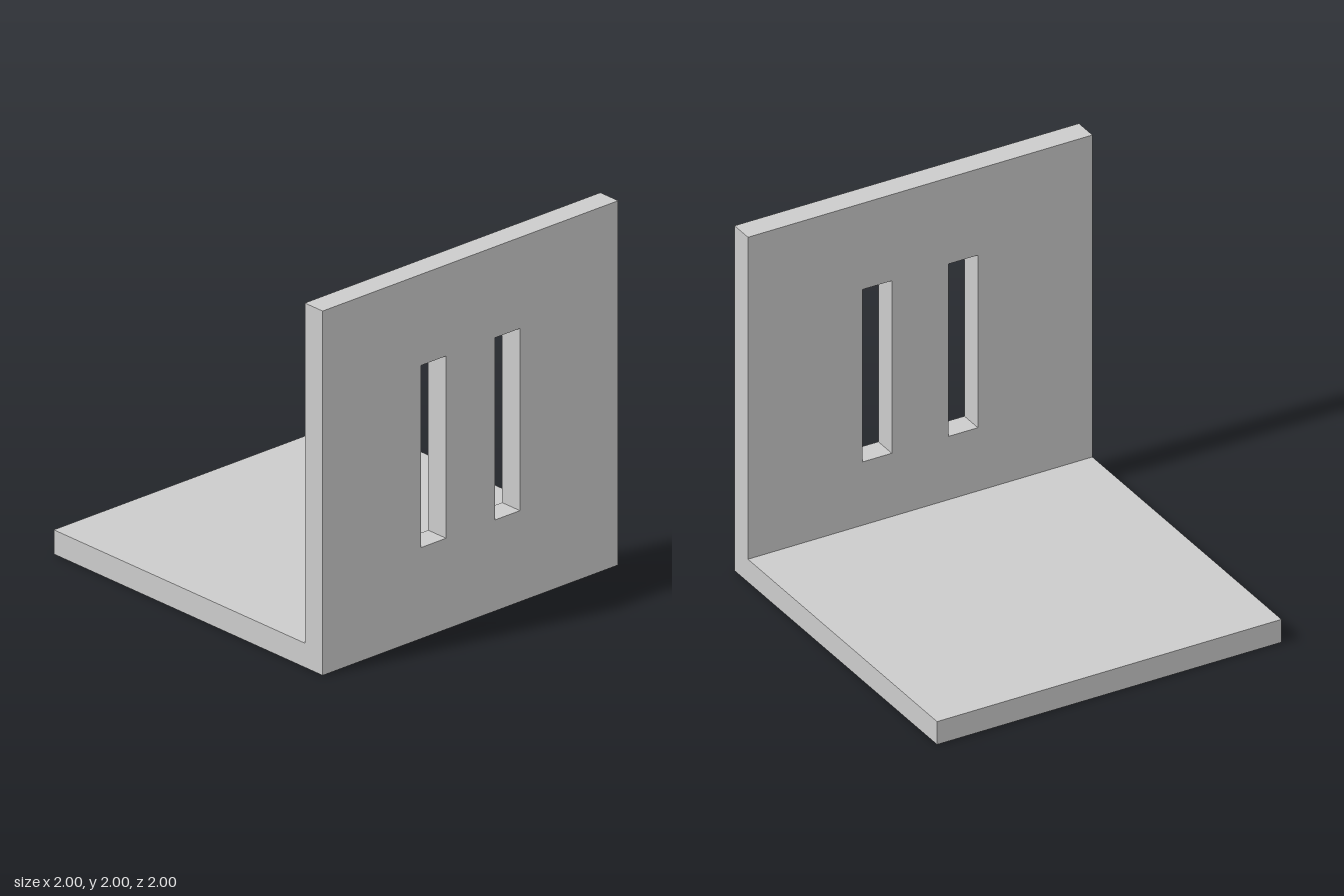
import * as THREE from 'three';

const SIZE = 2;
const THICK = 0.133;

// Rectangle corners, counter-clockwise from the lower left
function rect(x0, y0, x1, y1) {
  return [[x0, y0], [x1, y0], [x1, y1], [x0, y1]].map(([x, y]) => new THREE.Vector2(x, y));
}

export function createModel() {
  const group = new THREE.Group();
  group.name = 'angleBracket';
  const material = new THREE.MeshStandardMaterial({ color: 0xcccccc, flatShading: true });

  // Horizontal base plate, butting against the wall plate
  const base = new THREE.Mesh(new THREE.BoxGeometry(SIZE - THICK, THICK, SIZE), material);
  base.name = 'basePlate';
  base.position.set(-THICK / 2, THICK / 2, 0);
  group.add(base);

  // Upright plate with two slots, drawn in z and y, extruded along x
  const outline = new THREE.Shape(rect(-1, 0, 1, SIZE));
  for (const z of [-0.25, 0.25]) {
    outline.holes.push(new THREE.Path(rect(z - 0.085, 0.5, z + 0.085, 1.5).reverse()));
  }
  const wallGeometry = new THREE.ExtrudeGeometry(outline, { depth: THICK, bevelEnabled: false });
  wallGeometry.rotateY(-Math.PI / 2).translate(1, 0, 0);
  const wall = new THREE.Mesh(wallGeometry, material);
  wall.name = 'slottedWallPlate';
  group.add(wall);

  return group;
}
